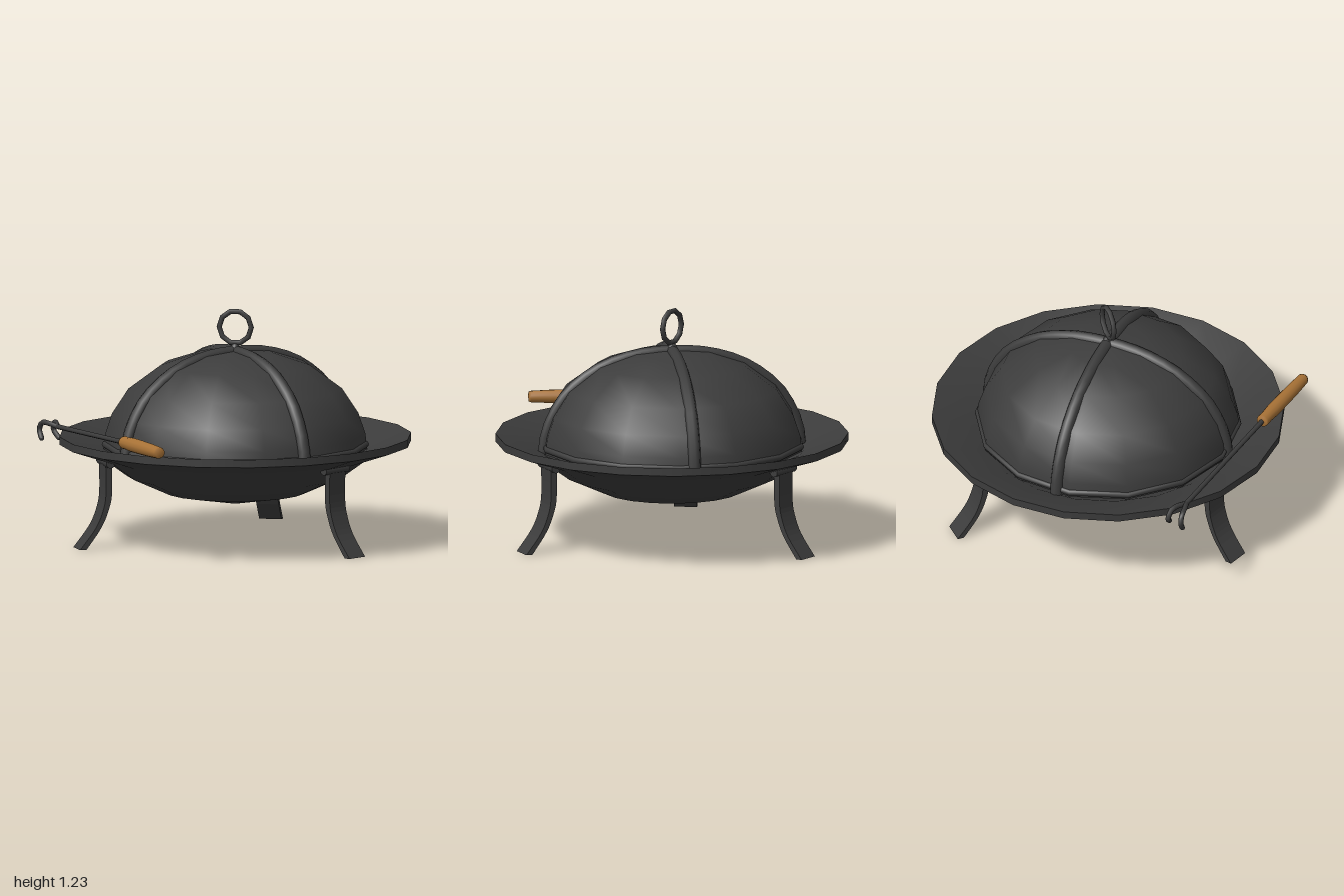
import * as THREE from 'three';

const iron = new THREE.MeshStandardMaterial({ color: 0x3c3c3c });
iron.name = 'darkIron';
const wood = new THREE.MeshStandardMaterial({ color: 0xa87236 });
wood.name = 'wood';

const V = (x, y, z) => new THREE.Vector3(x, y, z);

function add(parent, name, geometry, material = iron) {
  const m = new THREE.Mesh(geometry, material);
  m.name = name;
  parent.add(m);
  return m;
}

const lathe = (pts, sides) =>
  new THREE.LatheGeometry(pts.map(([r, y]) => new THREE.Vector2(r, y)), sides);

const tube = (pts, segs, radius, sides) =>
  new THREE.TubeGeometry(new THREE.CatmullRomCurve3(pts, false, 'centripetal'), segs, radius, sides);

// Rod between two points
function rod(parent, name, a, b, radius, sides) {
  const m = add(parent, name, new THREE.CylinderGeometry(radius, radius, a.distanceTo(b), sides));
  m.position.copy(a).add(b).multiplyScalar(0.5);
  m.quaternion.setFromUnitVectors(V(0, 1, 0), b.clone().sub(a).normalize());
  return m;
}

function buildLeg(angle) {
  const leg = new THREE.Group();
  leg.name = 'leg';
  // Curved strap: side profile extruded to the strap width
  const outer = [[0.73, 0.46], [0.728, 0.29], [0.745, 0.2], [0.785, 0.11], [0.87, 0]];
  const inner = [[0.835, 0], [0.755, 0.11], [0.715, 0.2], [0.695, 0.29], [0.695, 0.46]];
  const shape = new THREE.Shape();
  shape.moveTo(...outer[0]);
  shape.splineThru(outer.slice(1).map(p => new THREE.Vector2(...p)));
  shape.lineTo(...inner[0]);
  shape.splineThru(inner.slice(1).map(p => new THREE.Vector2(...p)));
  const geo = new THREE.ExtrudeGeometry(shape, { depth: 0.12, bevelEnabled: false, curveSegments: 3 });
  geo.translate(0, 0, -0.06);
  add(leg, 'legStrap', geo);
  // Crossbar under the bowl
  const bar = add(leg, 'legCrossbar', new THREE.CylinderGeometry(0.024, 0.024, 0.18, 10));
  bar.rotation.x = Math.PI / 2;
  bar.position.set(0.712, 0.453, 0);
  leg.rotation.y = angle;
  return leg;
}

function buildPoker() {
  const poker = new THREE.Group();
  poker.name = 'poker';
  const tail = V(-0.1, 0.61, 0.965), neck = V(-0.375, 0.61, 0.62), fork = V(-0.87, 0.588, 0);
  rod(poker, 'pokerRod', neck, fork, 0.013, 8);

  // Gently swelling wooden grip
  const len = neck.distanceTo(tail);
  const profile = [[0, 0], [0.03, 0], [0.034, 0.03], [0.033, 0.12], [0.037, 0.25],
    [0.037, 0.5], [0.035, 0.75], [0.031, 0.97], [0.026, 1], [0, 1]];
  const grip = add(poker, 'pokerHandle', lathe(profile.map(([r, t]) => [r, t * len]), 12), wood);
  grip.position.copy(neck);
  grip.quaternion.setFromUnitVectors(V(0, 1, 0), tail.clone().sub(neck).normalize());

  // Two hooked prongs
  const prongs = [
    [fork, V(-0.925, 0.6, -0.03), V(-0.965, 0.598, -0.06), V(-0.983, 0.56, -0.075), V(-0.968, 0.515, -0.06)],
    [fork, V(-0.89, 0.6, -0.06), V(-0.908, 0.595, -0.1), V(-0.918, 0.555, -0.12), V(-0.885, 0.515, -0.1)],
  ];
  for (const pts of prongs) {
    add(poker, 'pokerProng', tube(pts, 10, 0.014, 8));
    add(poker, 'prongTip', new THREE.SphereGeometry(0.014, 8, 6)).position.copy(pts[4]);
  }
  return poker;
}

export function createModel() {
  const model = new THREE.Group();
  model.name = 'firePit';
  const pit = new THREE.Group();
  pit.name = 'pit';
  pit.position.set(0.07, 0, -0.07);
  model.add(pit);

  // Bowl: outside, rim edge and inside
  add(pit, 'bowlOutside', lathe([[0, 0.2], [0.37, 0.265], [0.57, 0.355], [0.7, 0.45], [0.925, 0.525]], 20));
  add(pit, 'bowlRim', lathe([[0.925, 0.525], [0.925, 0.567]], 20));
  add(pit, 'bowlInside', lathe([[0.925, 0.567], [0.7, 0.49], [0.56, 0.395], [0.36, 0.305], [0, 0.24]], 20));

  // Domed lid with its base ring
  const dome = [[0.69, 0.49], [0.682, 0.57], [0.645, 0.68], [0.56, 0.81], [0.39, 0.935], [0.2, 0.998], [0, 1.015]];
  add(pit, 'lidDome', lathe(dome, 14));
  const baseRing = add(pit, 'lidBaseRing', new THREE.TorusGeometry(0.682, 0.018, 8, 14));
  baseRing.rotation.set(-Math.PI / 2, 0, Math.PI / 2);
  baseRing.position.y = 0.515;

  // Two crossed bands over the lid
  const half = dome.map(([r, y]) => [r * 0.985, y - 0.012]);
  const arc = [...half.map(([r, y]) => V(-r, y, 0)), ...half.slice(0, -1).reverse().map(([r, y]) => V(r, y, 0))];
  for (const a of [Math.PI / 4, -Math.PI / 4]) {
    add(pit, 'lidBand', tube(arc, 24, 0.034, 8)).rotation.y = a;
  }

  // Ring handle and its mount
  add(pit, 'lidRing', new THREE.TorusGeometry(0.086, 0.014, 8, 10)).position.set(0, 1.135, 0);
  add(pit, 'ringMount', new THREE.CylinderGeometry(0.015, 0.035, 0.03, 10)).position.y = 1.032;

  // Three legs, one at the back
  for (const deg of [90, 210, 330]) pit.add(buildLeg(THREE.MathUtils.degToRad(deg)));

  model.add(buildPoker());
  return model;
}
